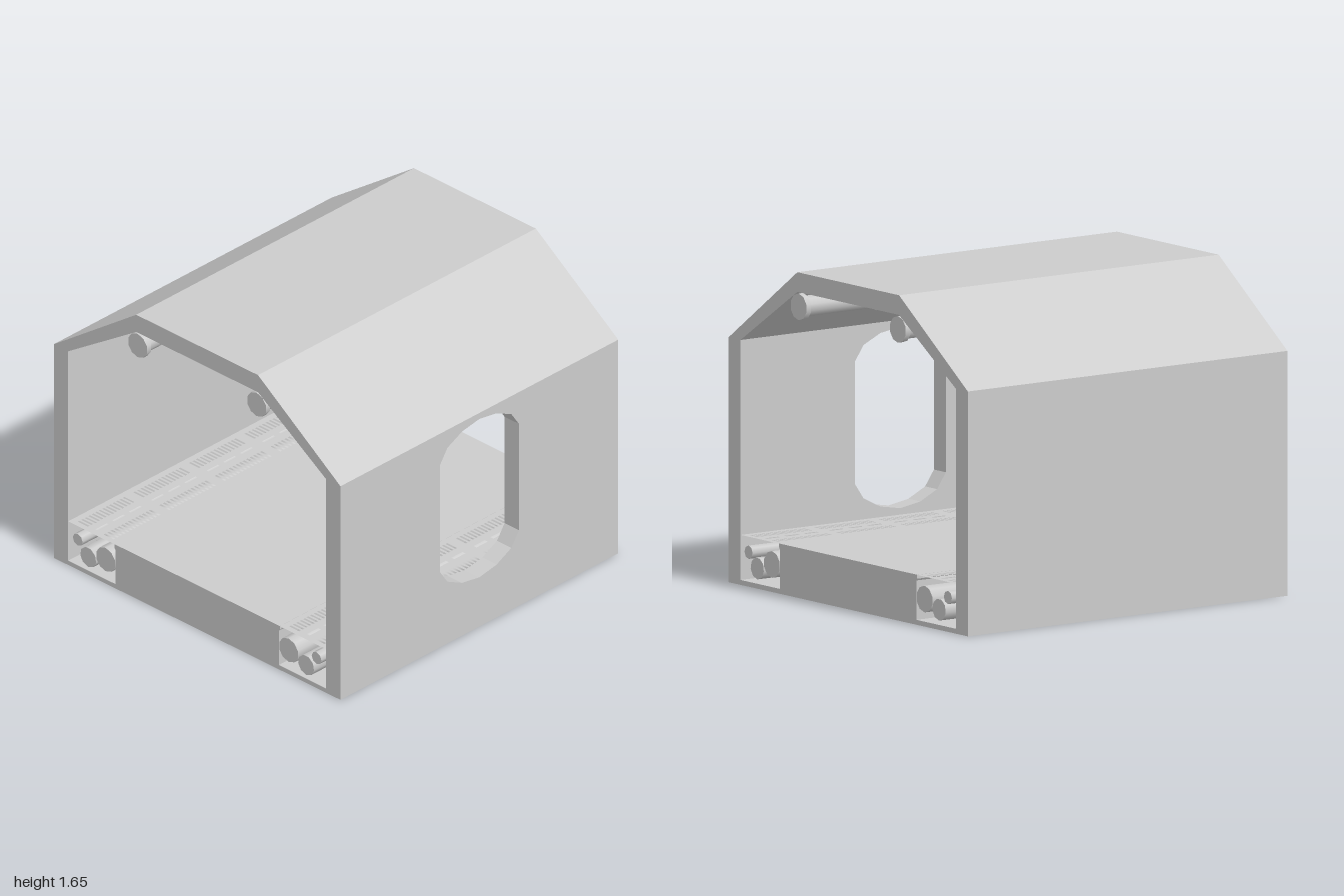
import * as THREE from 'three';

const LENGTH = 2;

export function createModel() {
  const model = new THREE.Group();
  const material = new THREE.MeshStandardMaterial({ color: 0xcccccc });
  const thinMaterial = new THREE.MeshStandardMaterial({ color: 0xcccccc, side: THREE.DoubleSide });

  const add = (name, geometry, parent = model, mat = material) => {
    const mesh = new THREE.Mesh(geometry, mat);
    mesh.name = name;
    parent.add(mesh);
    return mesh;
  };
  const toShape = (pts) => new THREE.Shape(pts.map(([x, y]) => new THREE.Vector2(x, y)));
  const rectPath = (x, y, w, h) => new THREE.Path([
    new THREE.Vector2(x - w / 2, y - h / 2), new THREE.Vector2(x - w / 2, y + h / 2),
    new THREE.Vector2(x + w / 2, y + h / 2), new THREE.Vector2(x + w / 2, y - h / 2),
  ]);

  // Shell: floor with raised deck and side trenches, plain wall and angled roof
  const profile = toShape([
    [0.9, 0], [0.9, 0.025], [0.57, 0.025], [0.57, 0.225], [0.577, 0.235], [0.577, 0.255],
    [-0.577, 0.255], [-0.577, 0.235], [-0.57, 0.225], [-0.57, 0.025], [-0.9, 0.025],
    [-0.9, 1.245], [-0.425, 1.555], [0.425, 1.555], [0.9, 1.245], [1, 1.245],
    [0.425, 1.655], [-0.425, 1.655], [-1, 1.245], [-1, 0],
  ]);
  const shell = new THREE.ExtrudeGeometry(profile, { depth: LENGTH, bevelEnabled: false });
  add('shell', shell.translate(0, 0, -LENGTH / 2));

  // Window wall: flat panel with a tall rounded opening
  const wall = toShape([[-1, 0], [1, 0], [1, 1.245], [-1, 1.245]]);
  const opening = [
    [0.285, 0.44], [0.285, 1.06], [0.23, 1.14], [0.125, 1.19], [0, 1.21],
    [-0.125, 1.19], [-0.23, 1.14], [-0.285, 1.06], [-0.285, 0.44],
    [-0.23, 0.36], [-0.125, 0.308], [0, 0.287], [0.125, 0.308], [0.23, 0.36],
  ];
  wall.holes.push(new THREE.Path(opening.map(([x, y]) => new THREE.Vector2(x, y))));
  const wallGeometry = new THREE.ExtrudeGeometry(wall, { depth: 0.1, bevelEnabled: false });
  add('windowWall', wallGeometry.rotateY(Math.PI / 2).translate(0.9, 0, 0));

  const pipe = (name, x, y, z, radius, length, sides, parent) => {
    const geometry = new THREE.CylinderGeometry(radius, radius, length, sides).rotateX(Math.PI / 2);
    add(name, geometry, parent).position.set(x, y, z);
  };

  // Slotted panel: two bands of narrow slots and a row of dashes between them
  const PANELS = 5, SLOTS = 14, panelLength = LENGTH / PANELS;
  const panel = toShape([
    [-0.1625, -panelLength / 2], [0.1625, -panelLength / 2],
    [0.1625, panelLength / 2], [-0.1625, panelLength / 2],
  ]);
  for (let i = 0; i < SLOTS; i++) {
    const v = (i - (SLOTS - 1) / 2) * 0.025;
    for (const u of [-0.09, 0.09]) panel.holes.push(rectPath(u, v, 0.07, 0.012));
  }
  for (const v of [-0.12, 0, 0.12]) panel.holes.push(rectPath(0, v, 0.02, 0.08));
  const panelGeometry = new THREE.ShapeGeometry(panel).rotateX(-Math.PI / 2);

  for (const side of [-1, 1]) {
    const label = side > 0 ? 'left' : 'right';

    // Grating over the trench
    const grating = new THREE.Group();
    grating.name = `${label}Grating`;
    for (let i = 0; i < PANELS; i++) {
      const z = (i - (PANELS - 1) / 2) * panelLength;
      add('gratingPanel', panelGeometry, grating, thinMaterial).position.set(side * 0.7375, 0.254, z);
    }
    model.add(grating);

    // Pipes lying in the trench
    const trench = new THREE.Group();
    trench.name = `${label}TrenchPipes`;
    pipe('largePipe', side * 0.638, 0.14, 0, 0.068, LENGTH, 10, trench);
    pipe('mediumPipe', side * 0.76, 0.103, 0, 0.056, LENGTH, 9, trench);
    pipe('smallPipe', side * 0.833, 0.175, 0, 0.034, LENGTH, 8, trench);
    model.add(trench);

    // Ceiling pipe with collars and end flanges
    const ceiling = new THREE.Group();
    ceiling.name = `${label}CeilingPipe`;
    pipe('pipe', side * 0.415, 1.48, 0, 0.053, LENGTH - 0.01, 10, ceiling);
    for (const z of [-0.985, -0.5, 0, 0.5, 0.985]) {
      pipe('collar', side * 0.415, 1.48, z, 0.068, 0.03, 10, ceiling);
    }
    model.add(ceiling);
  }
  return model;
}
